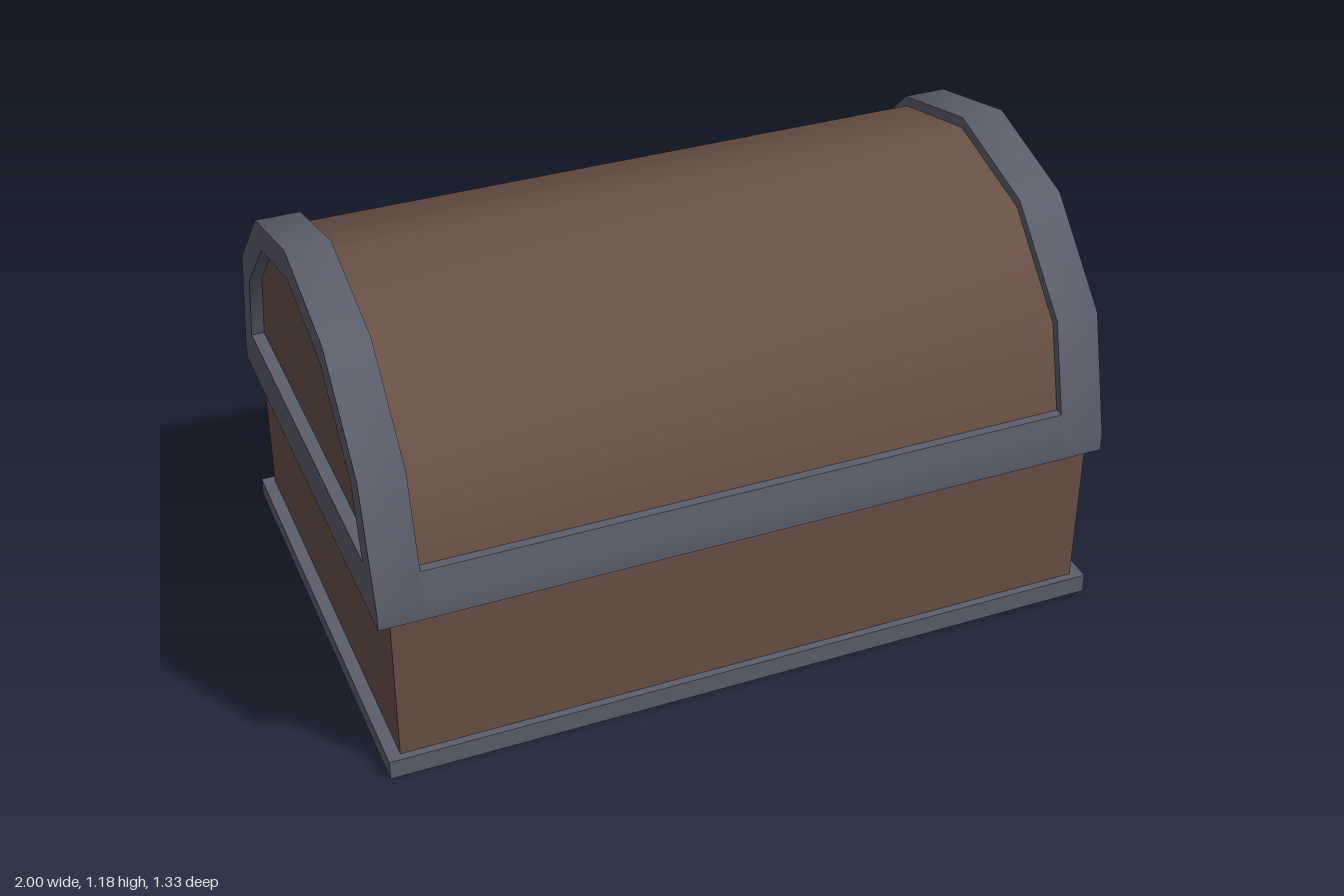
import * as THREE from 'three';
import { toCreasedNormals } from 'three/addons/utils/BufferGeometryUtils.js';

const CENTER_Z = 0.014;

// Closed outline from its right half, listed bottom to top and mirrored
function mirrored(half) {
  const left = half.filter(([u]) => u > 0).reverse().map(([u, y]) => [-u, y]);
  return [...half, ...left].map(([u, y]) => new THREE.Vector2(u, y));
}

// Extrude an outline along x, from x0 to x1, with softened facets
function alongX(outline, x0, x1, hole) {
  const shape = new THREE.Shape(outline);
  if (hole) shape.holes.push(new THREE.Path(hole));
  const geo = new THREE.ExtrudeGeometry(shape, { depth: x1 - x0, bevelEnabled: false });
  geo.translate(0, 0, x0).rotateY(Math.PI / 2);
  return toCreasedNormals(geo, 0.7);
}

export function createModel() {
  const wood = new THREE.MeshStandardMaterial({ color: 0x6a5146 });
  wood.name = 'brown wood';
  const metal = new THREE.MeshStandardMaterial({ color: 0x5c5f6c });
  metal.name = 'grey metal';

  const model = new THREE.Group();
  model.name = 'chest';
  const add = (name, geo, mat, parent = model) => {
    const mesh = new THREE.Mesh(geo, mat);
    mesh.name = name;
    parent.add(mesh);
    return mesh;
  };

  // Lower box and its base plate
  add('basePlate', new THREE.BoxGeometry(2, 0.055, 1.302), metal).position.set(0, 0.0275, CENTER_Z);
  add('body', new THREE.BoxGeometry(1.93, 0.46, 1.26), wood).position.set(0, 0.27, CENTER_Z);

  // Lid: wooden barrel, metal end arches and the rim between them
  const lid = new THREE.Group();
  lid.name = 'lid';
  lid.position.z = CENTER_Z;
  model.add(lid);

  const barrel = mirrored([[0.622, 0.55], [0.605, 0.61], [0.543, 0.845], [0.315, 1.073], [0, 1.155]]);
  add('lidBarrel', alongX(barrel, -0.965, 0.965), wood, lid);

  const arch = mirrored([[0.651, 0.48], [0.651, 0.53], [0.563, 0.86], [0.326, 1.098], [0, 1.185]]);
  const opening = mirrored([[0.549, 0.615], [0.496, 0.82], [0.285, 1.03], [0, 1.104]]);
  add('leftArch', alongX(arch, 0.88, 1, opening), metal, lid);
  add('rightArch', alongX(arch, -1, -0.88, opening), metal, lid);

  const rim = mirrored([[0.651, 0.48], [0.651, 0.53], [0.63, 0.61]]);
  add('lidRim', alongX(rim, -0.88, 0.88), metal, lid);

  // Lock plate with a sunken keyhole
  const lock = new THREE.Group();
  lock.name = 'lock';
  model.add(lock);
  const plate = mirrored([[0, 0.23], [0.253, 0.32], [0.253, 0.652]]);
  const face = new THREE.Shape(plate);
  const keyhole = new THREE.Path();
  keyhole.moveTo(-0.026, 0.345);
  keyhole.absarc(0, 0.345, 0.026, Math.PI, Math.PI * 2);
  keyhole.lineTo(0.016, 0.43);
  keyhole.absarc(0, 0.458, 0.032, -Math.PI / 3, Math.PI * 4 / 3);
  keyhole.closePath();
  face.holes.push(keyhole);
  const slab = (shape, z, depth) =>
    new THREE.ExtrudeGeometry(shape, { depth, bevelEnabled: false, curveSegments: 8 }).translate(0, 0, z);
  add('lockFace', slab(face, -0.665, 0.035), metal, lock);
  add('lockBack', slab(new THREE.Shape(plate), -0.63, 0.05), metal, lock);

  return model;
}
